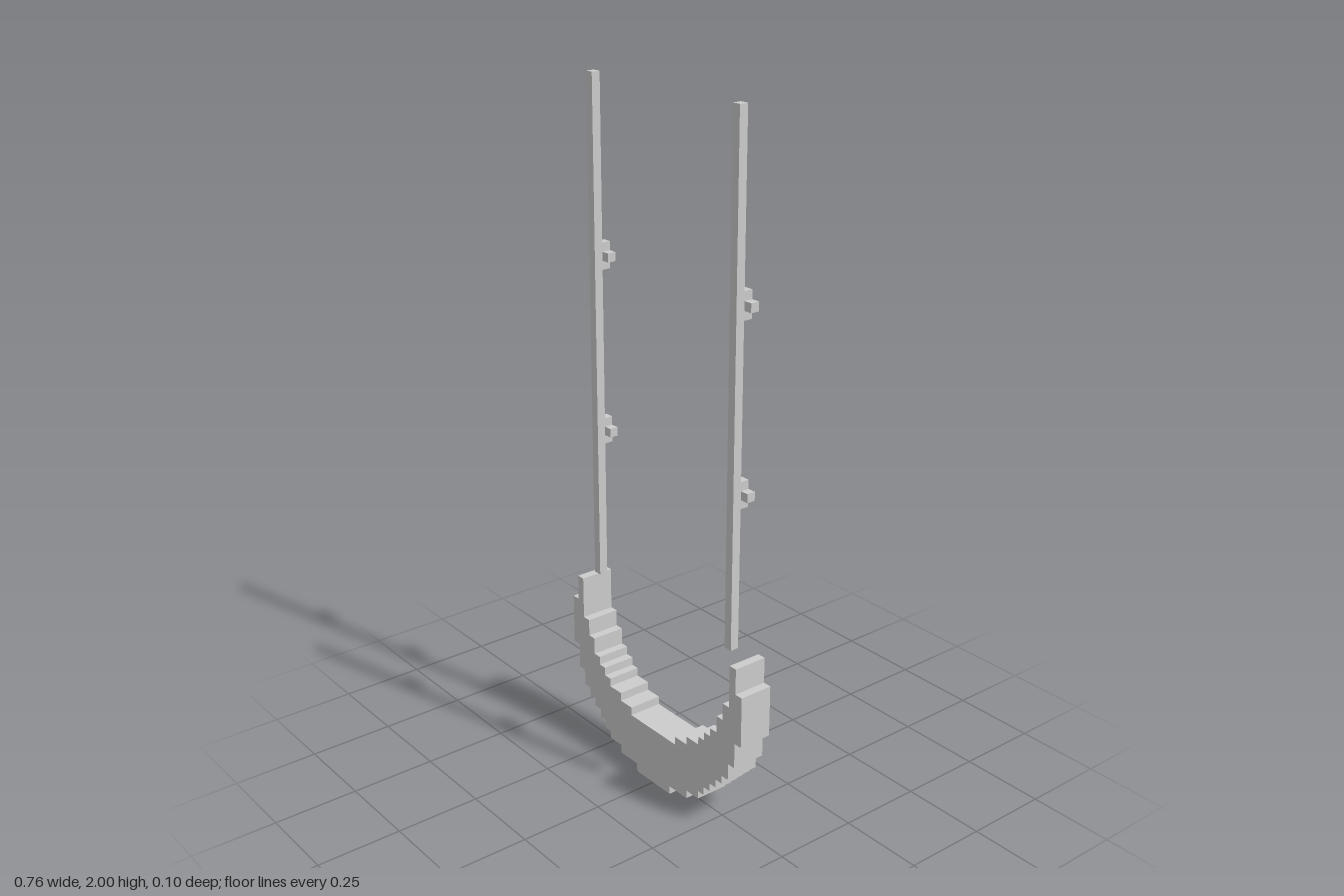
import * as THREE from 'three';

// One block of the stepped grid; the model is 79 blocks tall.
const U = 2 / 79;

export function createModel() {
  const model = new THREE.Group();
  model.name = 'crescentWithRods';
  const lightGrey = new THREE.MeshStandardMaterial({ color: 0xcccccc });
  lightGrey.name = 'lightGrey';

  // Box given by its lower and upper corners in blocks
  const block = (name, parent, [x0, y0, z0], [x1, y1, z1]) => {
    const geo = new THREE.BoxGeometry((x1 - x0) * U, (y1 - y0) * U, (z1 - z0) * U);
    const mesh = new THREE.Mesh(geo, lightGrey);
    mesh.position.set((x0 + x1) * U / 2, (y0 + y1) * U / 2, (z0 + z1) * U / 2);
    mesh.name = name;
    parent.add(mesh);
  };

  // Stepped crescent: right half of the outline, outer edge up then inner edge down
  const half = [
    [3, 0], [3, 1], [6, 1], [6, 2], [8, 2], [8, 3], [9, 3], [9, 4], [10, 4], [10, 5],
    [11, 5], [11, 6], [12, 6], [12, 7], [13, 7], [13, 9], [14, 9], [14, 12], [15, 12], [15, 18],
    [14, 18], [14, 21], [13, 21], [13, 16], [12, 16], [12, 14], [11, 14], [11, 12], [10, 12],
    [10, 11], [9, 11], [9, 10], [8, 10], [8, 9], [6, 9], [6, 8], [4, 8], [4, 7],
  ];
  const outline = [...half, ...half.map(([x, y]) => [-x, y]).reverse()];
  const shape = new THREE.Shape(outline.map(([x, y]) => new THREE.Vector2(x * U, y * U)));
  const crescentGeo = new THREE.ExtrudeGeometry(shape, { depth: 4 * U, bevelEnabled: false });
  crescentGeo.translate(0, 0, -2 * U);
  const crescent = new THREE.Mesh(crescentGeo, lightGrey);
  crescent.name = 'crescent';
  model.add(crescent);

  // Upright rods, each with two cross-shaped clips behind
  for (const [side, x] of [['left', 11], ['right', -12]]) {
    const rod = new THREE.Group();
    rod.name = side + 'RodAssembly';
    block(side + 'Rod', rod, [x, 22, 0], [x + 1, 79, 1]);
    for (const y of [39, 59]) {
      block('clipUpperArm', rod, [x, y + 1, -1], [x + 1, y + 2, 0]);
      block('clipLowerArm', rod, [x, y - 1, -1], [x + 1, y, 0]);
      block('clipBar', rod, [x - 1, y, -1], [x + 2, y + 1, 0]);
    }
    model.add(rod);
  }
  return model;
}
